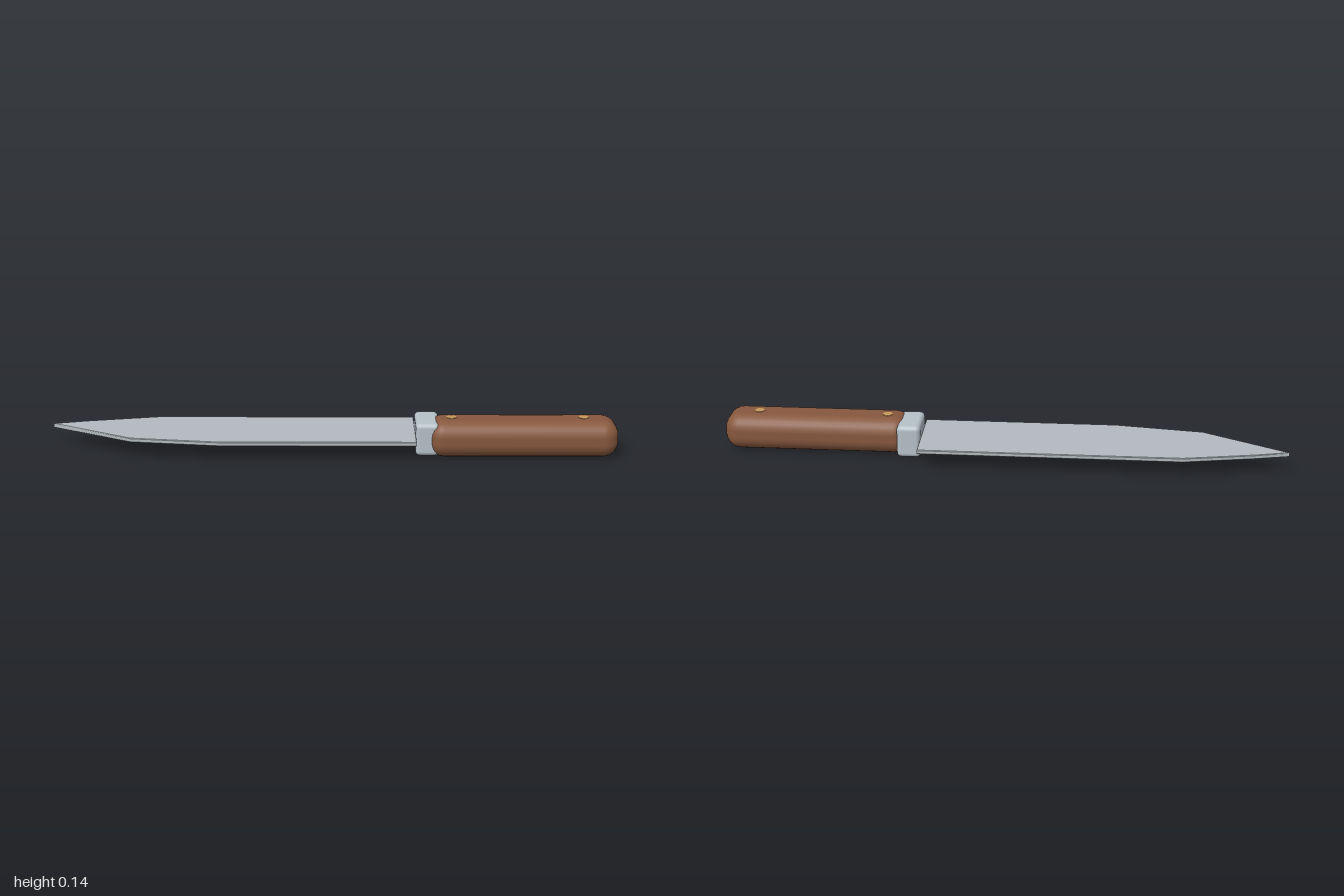
import * as THREE from 'three';
import { RoundedBoxGeometry } from 'three/addons/geometries/RoundedBoxGeometry.js';

const material = (name, color) => {
  const m = new THREE.MeshStandardMaterial({ color });
  m.name = name;
  return m;
};

export function createModel() {
  const steel = material('blade steel', 0xb3babf);
  const polished = material('bolster steel', 0xb6c1c9);
  const wood = material('brown wood', 0x87583e);
  const brass = material('brass', 0xc79a5b);

  const knife = new THREE.Group();
  knife.name = 'knife';
  const add = (name, geometry, mat, x, y, z) => {
    const mesh = new THREE.Mesh(geometry, mat);
    mesh.name = name;
    mesh.position.set(x, y, z);
    knife.add(mesh);
  };

  // Blade: flat outline in x and z, extruded upward with a tiny bevel
  const bevel = 0.002;
  const outline = [
    [-0.997, -0.064], [-0.706, 0.098], [-0.396, 0.14], [0.29, 0.14],
    [0.29, -0.142], [-0.63, -0.142], [-0.877, -0.094],
  ];
  const shape = new THREE.Shape(outline.map(([x, z]) => new THREE.Vector2(x, -z)));
  const blade = new THREE.ExtrudeGeometry(shape, {
    depth: 0.011, bevelEnabled: true, bevelThickness: bevel, bevelSize: bevel, bevelSegments: 1,
  });
  blade.rotateX(-Math.PI / 2);
  add('blade', blade, steel, 0, 0.062, 0);

  // Bolster between the blade and the grip
  add('bolster', new RoundedBoxGeometry(0.084, 0.117, 0.163, 3, 0.016), polished, 0.332, 0.067, 0.019);

  // Rounded wooden grip
  add('handle', new RoundedBoxGeometry(0.665, 0.132, 0.162, 3, 0.055), wood, 0.6675, 0.067, 0.041);

  // Rivets run right through the grip
  for (const x of [0.417, 0.88]) {
    add('rivet', new THREE.CylinderGeometry(0.018, 0.018, 0.135, 10), brass, x, 0.067, 0.038);
  }
  return knife;
}
